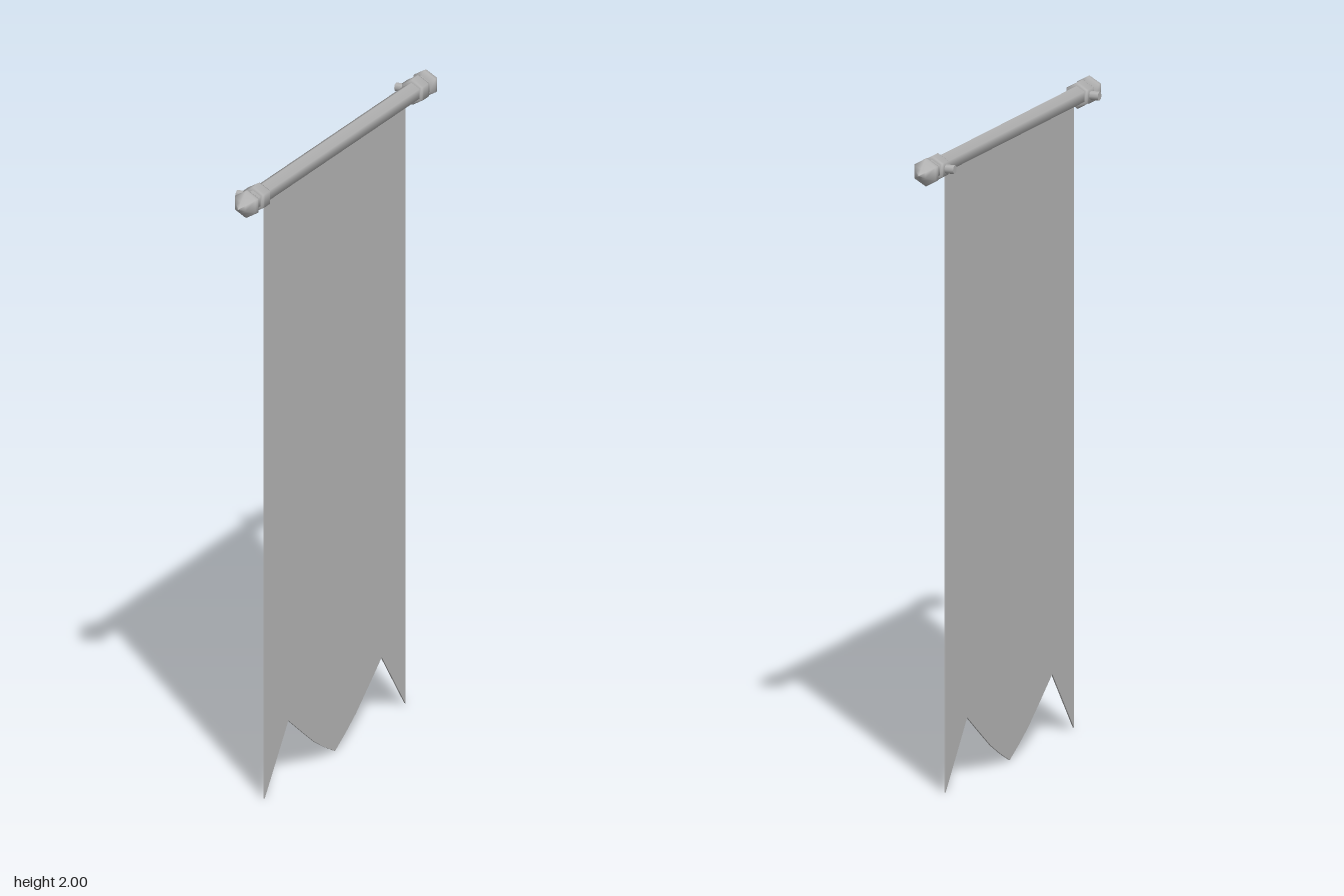
import * as THREE from 'three';

const SIDES = 6, AXIS_X = 0.011, AXIS_Y = 1.956;

export function createModel() {
  const model = new THREE.Group();
  const metal = new THREE.MeshStandardMaterial({ color: 0xb2b2b2 });
  metal.name = 'greyMetal';
  const fabric = new THREE.MeshStandardMaterial({ color: 0xb8b8b8 });
  fabric.name = 'greyCloth';

  const add = (name, geometry, material, parent = model) => {
    const mesh = new THREE.Mesh(geometry, material);
    mesh.name = name;
    parent.add(mesh);
    return mesh;
  };
  // Six-sided turned part lying along z, from [radius, z] pairs
  const turned = (profile) => new THREE.LatheGeometry(
    profile.map(([r, z]) => new THREE.Vector2(r, z)), SIDES).rotateX(Math.PI / 2);

  // Horizontal pole
  const rail = new THREE.Group();
  rail.name = 'rail';
  rail.position.set(AXIS_X, AXIS_Y, 0);
  model.add(rail);
  add('pole', turned([[0.031, -0.585], [0.031, 0.585]]), metal, rail);

  // Collar, wall peg and pointed finial at each end
  for (const side of [1, -1]) {
    const end = new THREE.Group();
    end.name = side > 0 ? 'frontEnd' : 'backEnd';
    if (side < 0) end.rotation.y = Math.PI;
    rail.add(end);
    add('collar', turned([[0.03, 0.51], [0.039, 0.512], [0.042, 0.519],
      [0.042, 0.553], [0.039, 0.56], [0.03, 0.562]]), metal, end);
    add('finial', turned([[0, 0.578], [0.031, 0.578], [0.043, 0.596],
      [0.044, 0.604], [0.04, 0.613], [0.018, 0.642], [0, 0.66]]), metal, end);
    const peg = add('wallPeg', new THREE.CylinderGeometry(0.014, 0.014, 0.045, 8)
      .rotateZ(Math.PI / 2), metal, rail);
    peg.position.set(-0.0425, 0, side * 0.536);
  }

  // Hanging cloth with two pointed tails and a curved middle point
  const half = [[0.475, 0], [0.315, 0.2], [0.225, 0.135], [0.14, 0.075], [0.07, 0.035]];
  const outline = [[0.475, 1.95], ...half, [0, 0],
    ...half.slice().reverse().map(([z, y]) => [-z, y]), [-0.475, 1.95]];
  const shape = new THREE.Shape(outline.map(([z, y]) => new THREE.Vector2(z, y)));
  const cloth = new THREE.ExtrudeGeometry(shape, { depth: 0.004, bevelEnabled: false });
  cloth.translate(0, 0, -0.002).rotateY(Math.PI / 2);
  add('bannerCloth', cloth, fabric).position.x = 0.006;

  return model;
}
